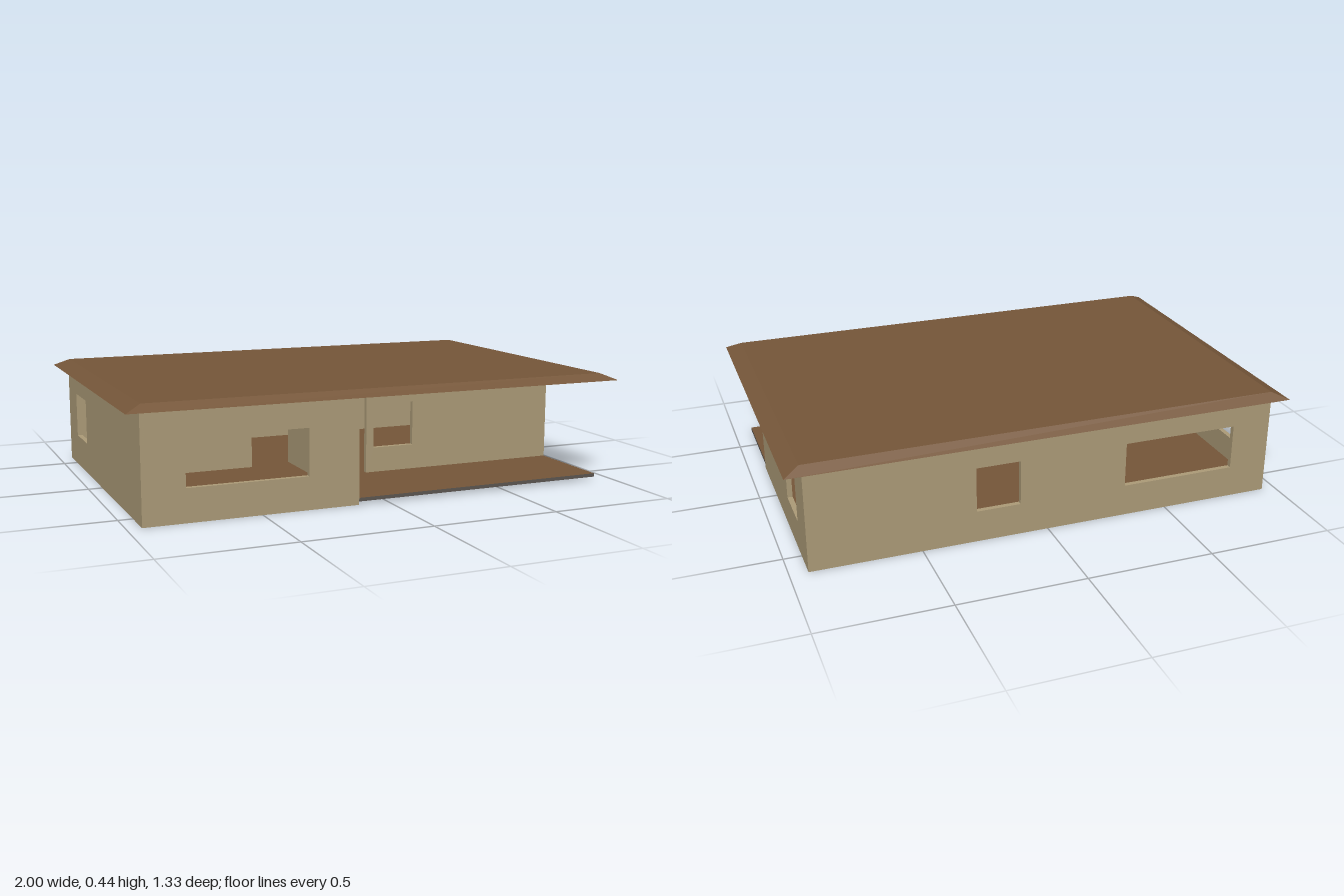
import * as THREE from 'three';

const T = 0.02;        // wall thickness
const H = 0.41;        // wall height
const WIN = [0.127, 0.307];  // window sill and head
const DOOR = [0.018, 0.368]; // door threshold and head

export function createModel() {
  const house = new THREE.Group();
  house.name = 'house';

  const tan = new THREE.MeshStandardMaterial({ color: 0xac9b78 });
  tan.name = 'tan wall';
  const brown = new THREE.MeshStandardMaterial({ color: 0x755639 });
  brown.name = 'brown wood';
  const grey = new THREE.MeshStandardMaterial({ color: 0x5c5650 });
  grey.name = 'grey slab edge';

  // Wall panel from a to b, with openings [start, end, [bottom, top]]
  function panel(name, a, b, openings = []) {
    const rect = (P, x0, x1, y0, y1) => {
      const p = new P();
      p.moveTo(x0, y0);
      p.lineTo(x1, y0);
      p.lineTo(x1, y1);
      p.lineTo(x0, y1);
      p.closePath();
      return p;
    };
    const shape = rect(THREE.Shape, a, b, 0, H);
    for (const [s, e, [y0, y1]] of openings) shape.holes.push(rect(THREE.Path, s, e, y0, y1));
    const geo = new THREE.ExtrudeGeometry(shape, { depth: T, bevelEnabled: false });
    const mesh = new THREE.Mesh(geo, tan);
    mesh.name = name;
    house.add(mesh);
    return mesh;
  }
  // Wall running along x, with its front face at z
  const wallX = (name, z, a, b, openings) => {
    panel(name, a, b, openings).position.z = z - T;
  };
  // Wall running along z, with its +x face at x
  const wallZ = (name, x, a, b, openings) => {
    const m = panel(name, a, b, openings);
    m.rotation.y = -Math.PI / 2;
    m.position.x = x;
  };

  const left = 0.93, right = -0.945, front = 0.632, back = -0.62;
  const porchX = -0.12, porchZ = 0.26;
  const wide = [-0.785, -0.32, WIN], small = [0.113, 0.288, WIN], side = [-0.465, -0.27, WIN];

  // Outer walls
  wallX('frontWall', front, right, porchX, [wide]);
  wallX('backWall', back + T, right, left, [wide, small]);
  wallZ('rightWall', right + T, back, front, [side]);
  wallZ('leftWall', left, back, porchZ, [side]);

  // Recessed porch wall with doorway and window
  wallX('porchWall', porchZ, porchX - T, left, [[porchX, 0.08, DOOR], small]);

  // Inner partitions
  wallZ('centrePartition', porchX, -0.05, front);
  wallX('roomPartition', -0.015, right, -0.315);

  // Floor slab, reaching out under the porch
  const floor = new THREE.Mesh(
    new THREE.BoxGeometry(left - right - 0.004, 0.014, front - back - 0.004),
    [grey, grey, brown, brown, grey, grey]
  );
  floor.name = 'floorSlab';
  floor.position.set((left + right) / 2, 0.019, (front + back) / 2);
  house.add(floor);

  // Roof slab with sloping edges
  const roofGeo = new THREE.BoxGeometry(2, 0.027, 1.332);
  const p = roofGeo.attributes.position;
  for (let i = 0; i < p.count; i++) {
    if (p.getY(i) > 0) {
      p.setX(i, Math.sign(p.getX(i)) * 0.938);
      p.setZ(i, Math.sign(p.getZ(i)) * 0.626);
    }
  }
  roofGeo.computeVertexNormals();
  const roof = new THREE.Mesh(roofGeo, brown);
  roof.name = 'roof';
  roof.position.y = H + 0.0125;
  house.add(roof);

  return house;
}
